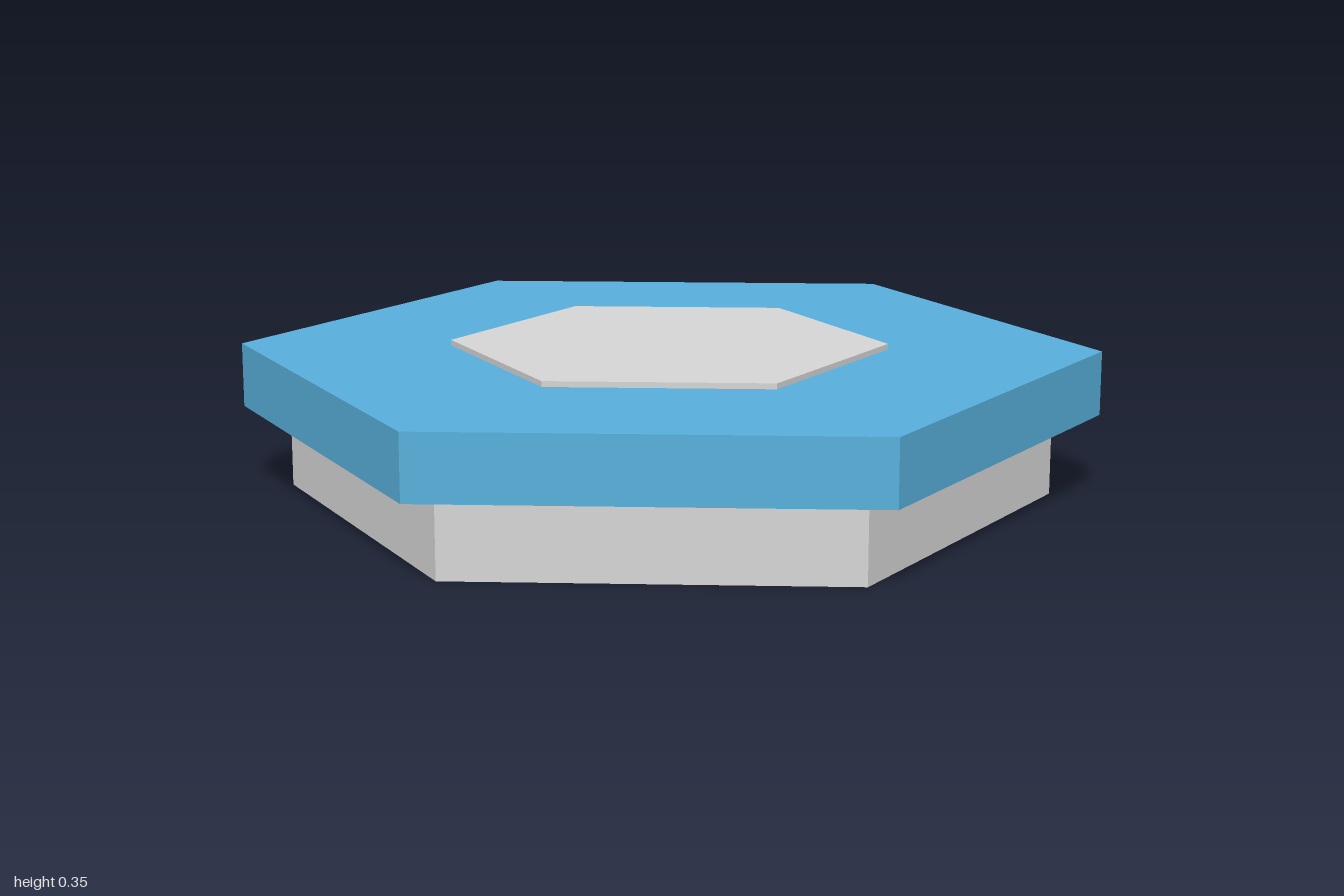
import * as THREE from 'three';

function material(name, color) {
  const m = new THREE.MeshStandardMaterial({ color });
  m.name = name;
  return m;
}

export function createModel() {
  const model = new THREE.Group();
  model.name = 'hexagonalPedestal';

  const grey = material('light grey', 0xd6d6d6);
  const blue = material('sky blue', 0x58b0dc);

  // Flat-sided hexagonal prism with corners on the z axis
  function addHexagon(name, radius, bottom, top, mat) {
    const geometry = new THREE.CylinderGeometry(radius, radius, top - bottom, 6).toNonIndexed();
    geometry.computeVertexNormals();
    const mesh = new THREE.Mesh(geometry, mat);
    mesh.name = name;
    mesh.position.y = (bottom + top) / 2;
    model.add(mesh);
  }

  addHexagon('base', 0.89, 0, 0.19, grey);
  addHexagon('slab', 1, 0.19, 0.34, blue);
  addHexagon('topPlate', 0.508, 0.34, 0.353, grey);

  return model;
}
